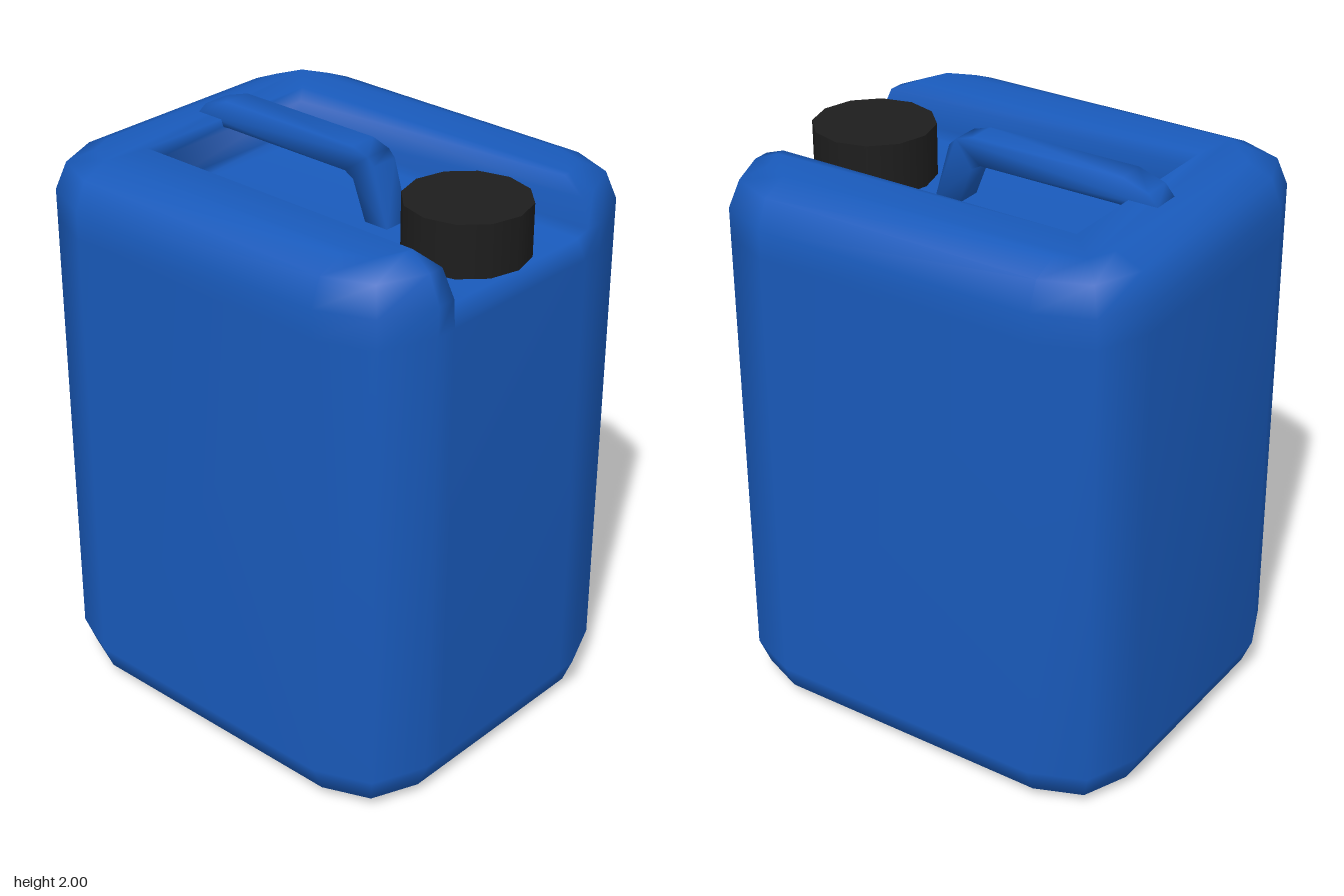
import * as THREE from 'three';
import { mergeVertices } from 'three/addons/utils/BufferGeometryUtils.js';

function material(name, color) {
  const mat = new THREE.MeshStandardMaterial({ color });
  mat.name = name;
  return mat;
}
const blue = material('blue plastic', 0x195abb);
const navy = material('dark blue base', 0x0b3050);
const black = material('black plastic', 0x1d1d1d);

// Body levels: height, inset from the full outline, half width of the top recess
const LEVELS = [
  [0, 0.13, 0.315], [0.038, 0.038, 0.315], [0.13, 0, 0.315], [1.7, 0, 0.315],
  [1.8, 0, 0.322], [1.893, 0.038, 0.333], [1.932, 0.13, 0.36],
];
const LIP = 3; // level where the front of the recess opens
const HX = 0.39, HZ = 0.5, R = 0.26; // corner centres and radius

function toGeometry(points, index) {
  const geo = new THREE.BufferGeometry();
  geo.setAttribute('position', new THREE.Float32BufferAttribute(points.flat(), 3));
  geo.setIndex(index);
  geo.computeVertexNormals();
  return geo;
}

// Rounded outline at one level, from the recess's left edge round to its right edge
function outline([y, inset, notch]) {
  const r = R - inset;
  const pts = [[notch, y, HZ + r]];
  [[1, 1], [1, -1], [-1, -1], [-1, 1]].forEach(([sx, sz], c) => {
    for (let k = 0; k < 3; k++) {
      const a = (c * 2 + k) * Math.PI / 4;
      pts.push([sx * HX + r * Math.sin(a), y, sz * HZ + r * Math.cos(a)]);
    }
  });
  pts.push([-notch, y, HZ + r]);
  return pts;
}

// Smooth shell: sides, U-shaped top and the recess sunk into it
function shellGeometry() {
  const rings = LEVELS.map(outline);
  const n = rings[0].length;
  const pts = rings.flat();
  const index = [];
  const quad = (a, b, c, d) => index.push(a, b, c, a, c, d);

  // Sides, open at the front of the recess
  for (let i = 0; i < rings.length - 1; i++) {
    for (let j = 0; j < (i < LIP ? n : n - 1); j++) {
      const a = i * n + j, b = i * n + (j + 1) % n;
      quad(a, b, b + n, a + n);
    }
  }

  // Recess walls, as rows running front right, back right, back left, front left
  const f = pts.length;
  pts.push([-0.318, 1.76, 0.725], [-0.318, 1.76, -0.45], [0.318, 1.76, -0.45], [0.318, 1.76, 0.725]);
  const rows = [[f, f + 1, f + 2, f + 3]];
  for (let i = LIP + 1; i < LEVELS.length; i++) {
    const [y, , w] = LEVELS[i];
    const back = pts.length;
    const z = -0.45 - (w - 0.318) * 0.6;
    pts.push([-w, y, z], [w, y, z]);
    rows.push([i * n + n - 1, back, back + 1, i * n]);
  }
  for (let i = 0; i < rows.length - 1; i++) {
    for (let j = 0; j < 3; j++) quad(rows[i][j], rows[i][j + 1], rows[i + 1][j + 1], rows[i + 1][j]);
  }

  // Recess floor, sloping lip and the small side faces beside the lip
  const lipL = LIP * n, lipR = lipL + n - 1;
  quad(f, f + 3, f + 2, f + 1);
  quad(lipR, lipL, f + 3, f);
  index.push(lipL, rows[1][3], f + 3, lipR, f, rows[1][0]);

  // Top
  const last = rows[rows.length - 1];
  const rim = rings[0].map((_, j) => (rings.length - 1) * n + j).concat(last[1], last[2]);
  const contour = rim.map((v) => new THREE.Vector2(pts[v][0], -pts[v][2]));
  for (const tri of THREE.ShapeUtils.triangulateShape(contour, [])) {
    index.push(...tri.map((v) => rim[v]));
  }
  return toGeometry(pts, index);
}

// Flat underside
function baseGeometry() {
  const pts = outline(LEVELS[0]);
  const index = [];
  for (let j = 1; j < pts.length - 1; j++) index.push(0, j + 1, j);
  return toGeometry(pts, index);
}

// Carrying handle with softened shading, side profile as (z, y)
function handleGeometry() {
  const profile = [
    [0.25, 1.75], [0.19, 1.955], [0.165, 1.98], [0.1, 2], [-0.45, 2], [-0.545, 1.97],
    [-0.58, 1.93], [-0.56, 1.9], [-0.44, 1.91], [0.07, 1.91], [0.105, 1.89], [0.16, 1.75],
  ].map(([z, y]) => new THREE.Vector2(z, y));
  const geo = new THREE.ExtrudeGeometry(new THREE.Shape(profile), { depth: 0.1, bevelEnabled: false });
  geo.deleteAttribute('uv');
  geo.deleteAttribute('normal');
  geo.rotateY(-Math.PI / 2).translate(0.07, 0, 0);
  const smooth = mergeVertices(geo);
  smooth.computeVertexNormals();
  return smooth;
}

export function createModel() {
  const model = new THREE.Group();
  const add = (name, geo, mat) => {
    const mesh = new THREE.Mesh(geo, mat);
    mesh.name = name;
    model.add(mesh);
    return mesh;
  };

  add('body', shellGeometry(), blue);
  add('base', baseGeometry(), navy);
  add('handle', handleGeometry(), blue);

  // Screw cap
  const cap = add('cap', new THREE.CylinderGeometry(0.205, 0.205, 0.178, 12), black);
  cap.position.set(0.02, 1.849, 0.525);

  return model;
}
